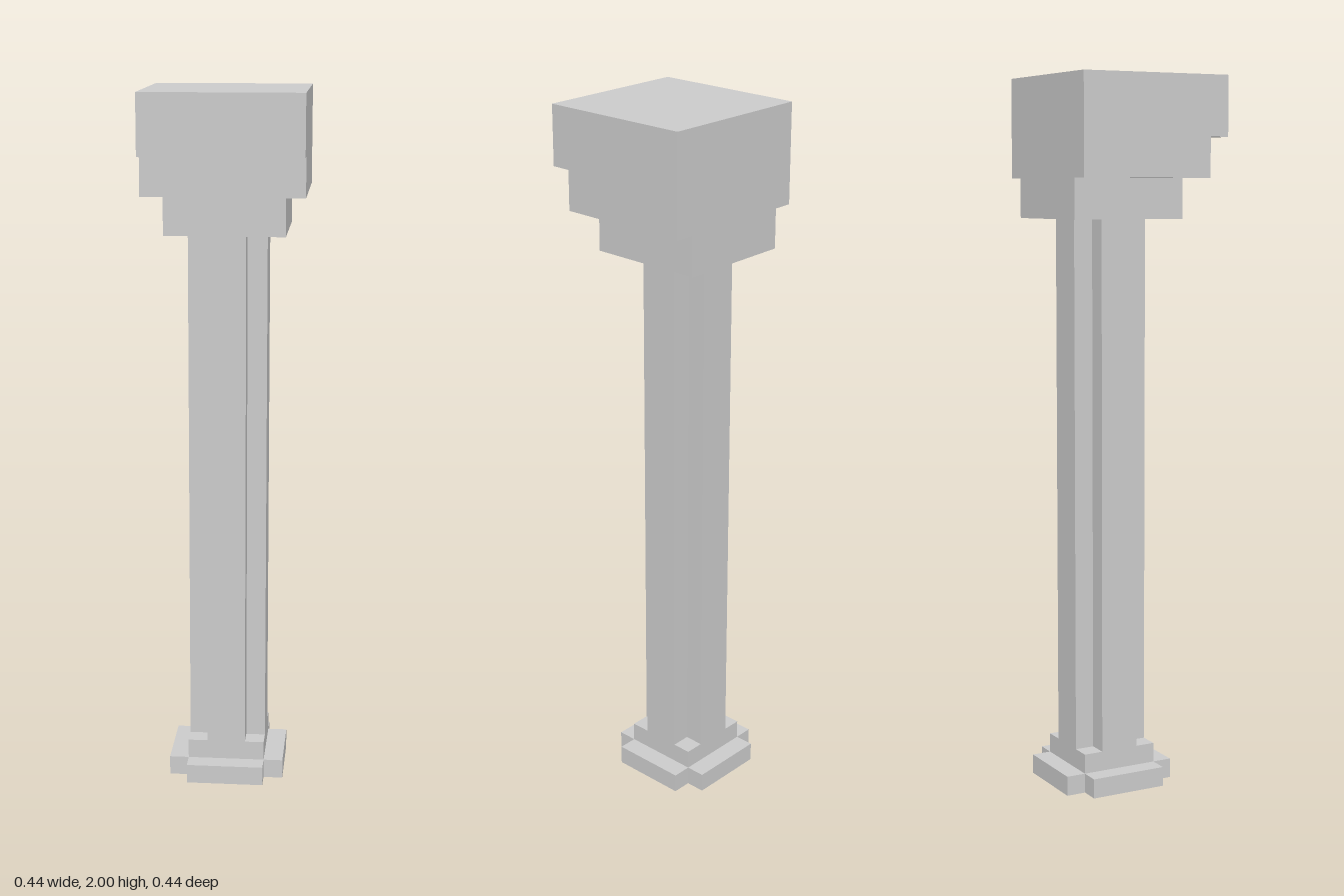
import * as THREE from 'three';

const U = 1 / 18; // block unit: the column is 36 units tall

export function createModel() {
  const group = new THREE.Group();
  const material = new THREE.MeshStandardMaterial({ color: 0xcccccc, flatShading: true });

  const add = (name, geometry) => {
    const mesh = new THREE.Mesh(geometry, material);
    mesh.name = name;
    group.add(mesh);
  };

  // Box given by its half width and its y and z ranges, in units
  const block = (name, halfX, y0, y1, z0, z1) => {
    const geometry = new THREE.BoxGeometry(2 * halfX * U, (y1 - y0) * U, (z1 - z0) * U);
    geometry.translate(0, ((y0 + y1) / 2) * U, ((z0 + z1) / 2) * U);
    add(name, geometry);
  };

  // Upright cross prism: arms reach r and are 2 * w wide, centred on the shaft axis
  const cross = (name, r, w, y0, y1) => {
    const points = [
      [r, -w], [r, w], [w, w], [w, r], [-w, r], [-w, w],
      [-r, w], [-r, -w], [-w, -w], [-w, -r], [w, -r], [w, -w],
    ].map(([x, y]) => new THREE.Vector2(x * U, y * U));
    const geometry = new THREE.ExtrudeGeometry(new THREE.Shape(points), {
      depth: (y1 - y0) * U,
      bevelEnabled: false,
    });
    geometry.rotateX(-Math.PI / 2);
    geometry.translate(0, y0 * U, -U);
    add(name, geometry);
  };

  // Foot and shaft, set one unit back from the centre
  cross('baseSlab', 3, 2, 0, 1);
  block('plinth', 2, 1, 2, -3, 1);
  cross('shaft', 2, 1, 2, 29);

  // Capital stepping out to the front and sides, flush at the back
  block('capitalLower', 3, 29, 31, -4, 2);
  block('capitalMiddle', 4, 31, 33, -4, 3);
  block('capitalTop', 4, 33, 36, -4, 4);

  return group;
}
